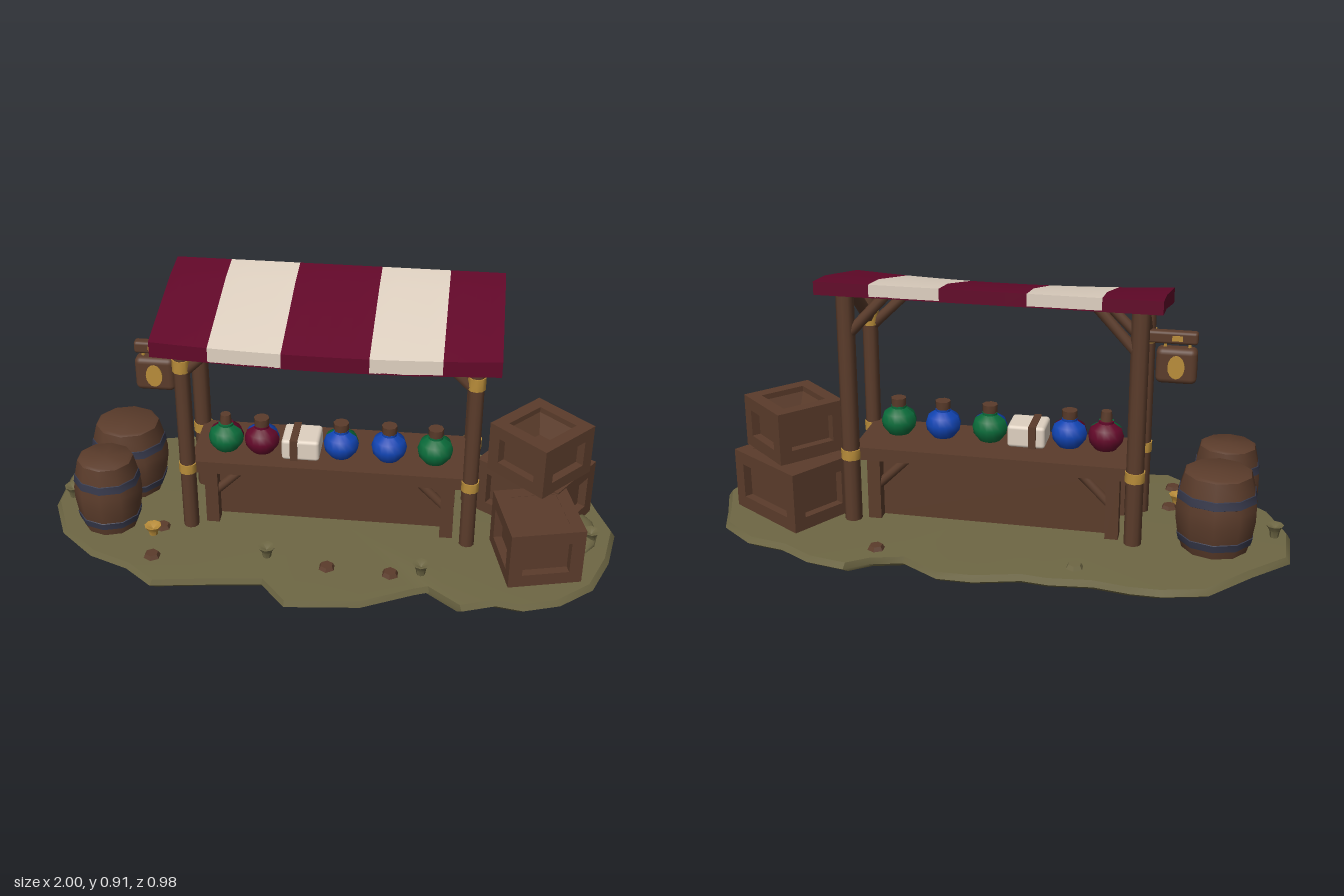
import * as THREE from 'three';
import { toCreasedNormals } from 'three/addons/utils/BufferGeometryUtils.js';
import { RoundedBoxGeometry } from 'three/addons/geometries/RoundedBoxGeometry.js';

const mat = (name, color) => {
  const m = new THREE.MeshStandardMaterial({ color });
  m.name = name;
  return m;
};

export function createModel() {
  const wood = mat('wood', 0x5b3c2b), grass = mat('grass', 0x6e6744), red = mat('crimson cloth', 0x620829);
  const cream = mat('cream', 0xdfd1c1), green = mat('green glass', 0x0a6b3a), blue = mat('blue glass', 0x1144b2);
  const gold = mat('gold', 0xb98d3a), iron = mat('iron', 0x36384a);
  const model = new THREE.Group();
  model.name = 'marketStall';

  const add = (name, geo, material, x = 0, y = 0, z = 0, parent = model) => {
    const m = new THREE.Mesh(geo, material);
    m.name = name;
    m.position.set(x, y, z);
    parent.add(m);
    return m;
  };
  const group = (name, x, y, z, ry = 0) => {
    const g = new THREE.Group();
    g.name = name;
    g.position.set(x, y, z);
    g.rotation.y = ry;
    model.add(g);
    return g;
  };
  const box = (w, h, d) => new THREE.BoxGeometry(w, h, d);
  const cyl = (r1, r2, h, n = 10) => toCreasedNormals(new THREE.CylinderGeometry(r1, r2, h, n), 0.8);
  const lathe = (pts, n, start = 0, sweep = Math.PI * 2) => toCreasedNormals(
    new THREE.LatheGeometry(pts.map(([r, y]) => new THREE.Vector2(r, y)), n, start, sweep), 0.75);
  // round beam between two points
  const beam = (name, a, b, r) => {
    const p = new THREE.Vector3(...a), q = new THREE.Vector3(...b);
    const mid = p.clone().add(q).multiplyScalar(0.5);
    const m = add(name, cyl(r, r, p.distanceTo(q), 8), wood, mid.x, mid.y, mid.z);
    m.quaternion.setFromUnitVectors(new THREE.Vector3(0, 1, 0), q.sub(p).normalize());
  };

  // ground: irregular outline lofted through a few rings
  const outline = [
    -1, -.16, -.88, -.28, -.75, -.43, -.61, -.465, -.51, -.465, -.39, -.445, -.25, -.46, -.16, -.45, -.01, -.49,
    .11, -.49, .24, -.41, .35, -.44, .42, -.49, .55, -.465, .66, -.4, .79, -.375, .91, -.28, .95, -.16,
    1, -.03, .97, .13, .91, .28, .8, .375, .68, .415, .59, .4, .48, .44, .37, .355, .32, .375, .15, .46,
    -.1, .486, -.19, .38, -.39, .405, -.56, .43, -.66, .35, -.8, .295, -.93, .18, -1, .02];
  const rings = [[0, .002], [.97, .004], [1, .016], [.985, .038], [.6, .042], [0, .042]];
  const n = outline.length / 2, pos = [], idx = [];
  for (const [s, y] of rings)
    for (let i = 0; i < n; i++) pos.push(outline[2 * i] * s, y, outline[2 * i + 1] * s);
  for (let k = 0; k < rings.length - 1; k++)
    for (let i = 0; i < n; i++) {
      const a = k * n + i, b = k * n + (i + 1) % n;
      idx.push(a, a + n, b, b, a + n, b + n);
    }
  const ground = new THREE.BufferGeometry();
  ground.setAttribute('position', new THREE.Float32BufferAttribute(pos, 3));
  ground.setIndex(idx);
  add('ground', toCreasedNormals(ground, 0.7), grass);
  // low mound between the crates
  add('mound', new THREE.SphereGeometry(.12, 12, 6, 0, Math.PI * 2, 0, Math.PI / 2), grass, .84, .038, 0).scale.set(.8, .3, 1.1);

  // posts, bands and braces, mirrored
  for (const s of [-1, 1]) {
    const x = s * .483;
    add('frontPost', cyl(.027, .027, .77), wood, x, .415, .102);
    add('backPost', cyl(.03, .03, .83), wood, x, .445, -.164);
    add('upperBand', cyl(.031, .031, .045), gold, x, .686, .102);
    add('lowerBand', cyl(.031, .031, .035), gold, x, .285, .102);
    add('lowerBand', cyl(.034, .034, .035), gold, x, .285, -.164);
    beam('sideBrace', [x, .69, .09], [x, .85, -.1], .021);
    beam('frontBrace', [x, .65, .102], [s * .345, .785, .102], .018);
    beam('backBrace', [x, .7, -.164], [s * .345, .85, -.164], .018);
  }

  // striped canopy: side profile extruded per stripe, sagging at the front
  const profile = (pts, x0, x1) => {
    const g = new THREE.ExtrudeGeometry(new THREE.Shape(pts.map(p => new THREE.Vector2(...p))),
      { depth: x1 - x0, steps: 4, bevelEnabled: false });
    g.rotateY(-Math.PI / 2).translate(x1, 0, 0);
    const p = g.attributes.position;
    for (let i = 0; i < p.count; i++) {
      const t = 1 - (p.getX(i) / .558) ** 2, f = (p.getZ(i) + .25) / .46;
      p.setY(i, p.getY(i) - .018 * t * f);
    }
    return toCreasedNormals(g, 0.5);
  };
  const stripes = [-.558, -.37, -.135, .145, .375, .558];
  for (let i = 0; i < 5; i++)
    add('canopyStripe', profile([[-.25, .867], [-.13, .853], [.21, .773], [.21, .823], [-.13, .895], [-.25, .907]],
      stripes[i], stripes[i + 1]), i % 2 ? cream : red);
  add('canopyLining', profile([[-.25, .863], [-.13, .849], [.21, .769], [.21, .774], [-.13, .854], [-.25, .868]],
    -.558, .558), red);

  // counter
  add('counterTop', box(.95, .045, .27), wood, 0, .285, -.03);
  add('counterBody', box(.82, .22, .13), wood, 0, .15, -.045);
  for (const s of [-1, 1])
    for (const z of [.06, -.13]) {
      add('counterLeg', box(.045, .23, .045), wood, s * .41, .15, z);
      beam('counterBrace', [s * .4, .16, z], [s * .3, .26, z], .016);
    }

  // two-tone potion bottles: front half and back half
  const bottle = [[0, 0], [.038, 0], [.057, .025], [.061, .048], [.052, .075], [.026, .092], [.026, .1], [0, .1]];
  [[-.365, green, red], [-.24, red, blue], [.035, blue, green], [.2, blue, blue], [.358, green, green]]
    .forEach(([x, front, back], i) => {
      add('bottleFront', lathe(bottle, 8, -Math.PI / 2, Math.PI), front, x, .308, 0);
      add('bottleBack', lathe(bottle, 8, Math.PI / 2, Math.PI), back, x, .308, 0);
      add('bottleCork', i ? cyl(.027, .025, .038, 8) : cyl(.018, .022, .05, 8), wood, x, .417, 0);
    });
  // wrapped parcel
  add('parcel', new RoundedBoxGeometry(.13, .078, .12, 2, .012), cream, -.1, .346, 0);
  add('parcelStrap', box(.026, .082, .126), wood, -.122, .346, 0);

  // barrels with flush hoops
  for (const [x, z, r] of [[-.75, -.12, .137], [-.77, .115, .117]]) {
    const g = group('barrel', x, .035, z);
    g.scale.z = .95;
    add('barrelBody', lathe([[0, 0], [r * .8, 0], [r * .93, .06], [r, .12], [r, .16], [r * .93, .215],
      [r * .82, .272], [r * .74, .278], [0, .278]], 10), wood, 0, 0, 0, g);
    add('lowerHoop', lathe([[r * .873, .032], [r * .885 + .003, .034], [r * .93 + .003, .06], [r * .93, .062]], 10), iron, 0, 0, 0, g);
    add('upperHoop', lathe([[r * .96, .184], [r * .965 + .003, .186], [r * .93 + .003, .213], [r * .92, .215]], 10), iron, 0, 0, 0, g);
  }

  // crates: edge bars around inset walls, with a flush lid or an open sloping top
  const crate = (x, y, z, w, h, d, ry, lid) => {
    const g = group('crate', x, y + h / 2, z, ry), t = .045;
    for (const a of [-1, 1]) {
      add('crateWall', box(w - .07, h - .02, .01), wood, 0, 0, a * (d / 2 - .035), g);
      add('crateWall', box(.01, h - .02, d - .07), wood, a * (w / 2 - .035), 0, 0, g);
      for (const b of [-1, 1]) {
        add('crateBar', box(w, t, t), wood, 0, a * (h - t) / 2, b * (d - t) / 2, g);
        add('crateBar', box(t, h, t), wood, a * (w - t) / 2, 0, b * (d - t) / 2, g);
        add('crateBar', box(t, t, d), wood, a * (w - t) / 2, b * (h - t) / 2, 0, g);
      }
    }
    if (lid) add('crateLid', box(w - .01, .03, d - .01), wood, 0, h / 2 - .016, 0, g);
    else {
      // inward-facing funnel down to a small floor
      const top = (w / 2 - .035) * Math.SQRT2, floor = .045 * Math.SQRT2;
      add('crateFunnel', lathe([[top, h / 2 - .002], [floor, h * .06], [0, h * .06]].reverse()
        .map(([r, v]) => [r, v]), 4, Math.PI / 4).scale(-1, 1, 1), wood, 0, 0, 0, g);
    }
  };
  crate(.71, .04, -.125, .33, .212, .25, -.575, true);
  crate(.716, .04, .17, .25, .207, .264, .245, true);
  crate(.716, .25, -.07, .25, .185, .25, .84, false);

  // hanging sign with an oval emblem and a beam plate on both faces
  add('signBeam', new RoundedBoxGeometry(.19, .043, .036, 2, .01), wood, -.56, .707, .03);
  add('signBoard', new RoundedBoxGeometry(.135, .122, .06, 3, .02), wood, -.588, .612, .03);
  for (const s of [-1, 1]) {
    add('signHook', cyl(.006, .006, .03, 6), gold, -.588 + s * .04, .678, .03);
    add('beamPlate', box(.035, .018, .006), gold, -.588, .707, .03 + s * .018);
    const e = add('signEmblem', cyl(.04, .04, .008, 16), gold, -.588, .612, .03 + s * .031);
    e.rotation.x = Math.PI / 2;
    e.scale.x = .7;
  }

  // sprouting cups, flat pebbles and a small gold cup
  const cup = [[0, 0], [.014, 0], [.018, .025], [.03, .045], [.022, .045], [0, .03]];
  for (const [x, z] of [[-.945, -.015], [.91, .038], [-.19, .257], [.337, .29]])
    add('sprout', lathe(cup, 8), grass, x, .038, z);
  add('stone', cyl(.022, .03, .014, 6), grass, -.32, .047, -.37);
  for (const [x, z] of [[.02, .295], [.235, .305], [-.58, .3], [.342, -.37], [-.58, .135]])
    add('pebble', cyl(.022, .03, .014, 6), wood, x, .047, z);
  add('goldCup', lathe(cup, 8), gold, -.604, .032, .177);

  return model;
}
